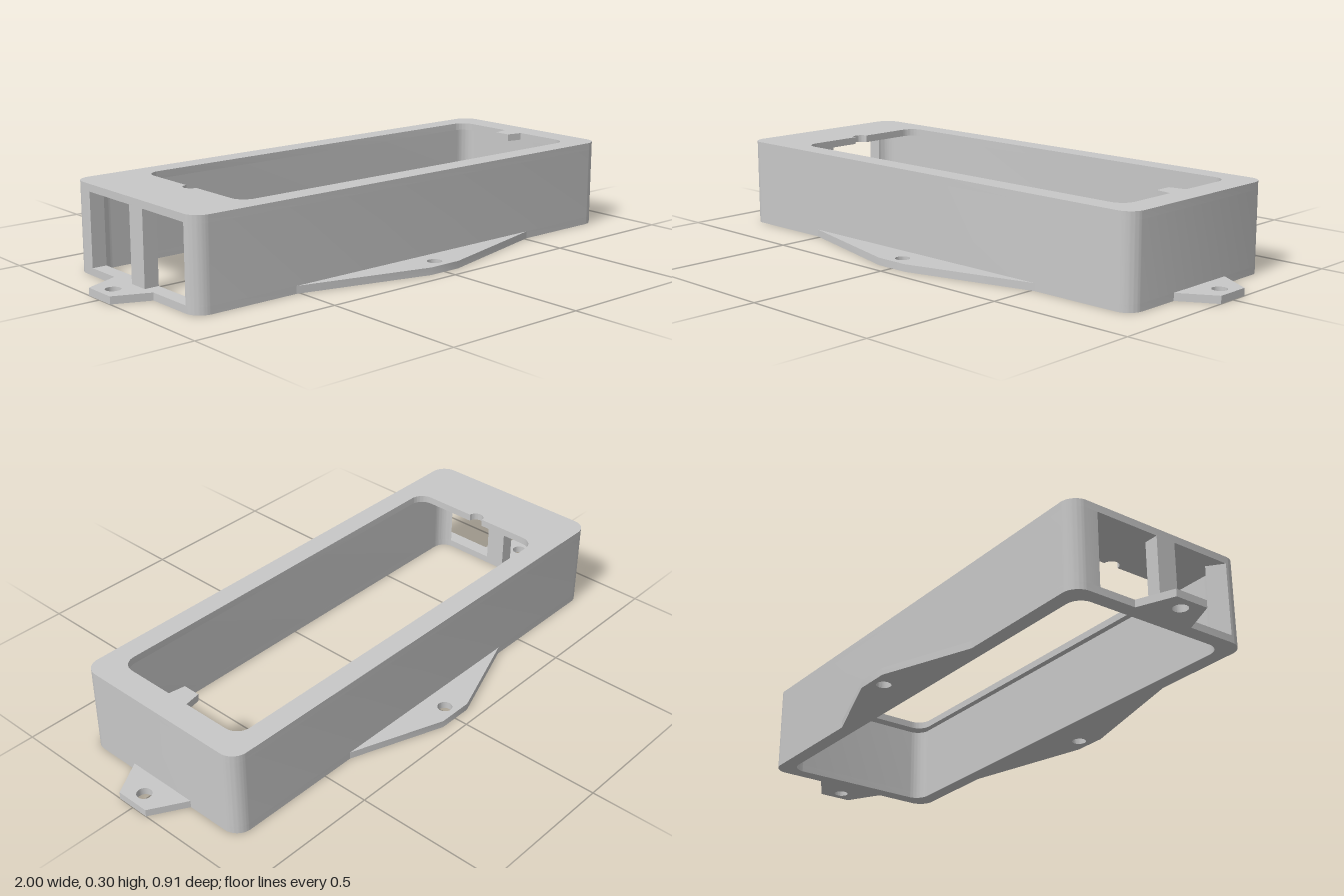
import * as THREE from 'three';
import { toCreasedNormals } from 'three/addons/utils/BufferGeometryUtils.js';

const PLATE = 0.025, HEIGHT = 0.299;
const OUT_X = 0.88, OUT_Z = 0.335, IN_X = 0.83, IN_Z = 0.283;
const OUT_R = 0.055, IN_R = 0.05;
const GAP = 0.24; // half width of the end opening

// Rounded rectangle outline on the ground plane
function roundedRect(path, x0, x1, z, r) {
  path.moveTo(x0 + r, -z);
  path.lineTo(x1 - r, -z);
  path.absarc(x1 - r, -z + r, r, -Math.PI / 2, 0, false);
  path.lineTo(x1, z - r);
  path.absarc(x1 - r, z - r, r, 0, Math.PI / 2, false);
  path.lineTo(x0 + r, z);
  path.absarc(x0 + r, z - r, r, Math.PI / 2, Math.PI, false);
  path.lineTo(x0, -z + r);
  path.absarc(x0 + r, -z + r, r, Math.PI, Math.PI * 1.5, false);
  return path;
}

function outline() {
  return roundedRect(new THREE.Shape(), -OUT_X, OUT_X, OUT_Z, OUT_R);
}

export function createModel() {
  const model = new THREE.Group();
  const grey = new THREE.MeshStandardMaterial({ color: 0xc8c8c8 });
  grey.name = 'lightGrey';

  // Extrude a plan shape upwards from y0 to y1
  function slab(name, shape, y0, y1) {
    const geo = new THREE.ExtrudeGeometry(shape, { depth: y1 - y0, bevelEnabled: false, curveSegments: 10 });
    geo.rotateX(-Math.PI / 2);
    geo.translate(0, y0, 0);
    const mesh = new THREE.Mesh(toCreasedNormals(geo, 0.5), grey);
    mesh.name = name;
    model.add(mesh);
  }

  // Bottom rim, a closed ring
  const rim = outline();
  rim.holes.push(roundedRect(new THREE.Path(), -IN_X, IN_X, IN_Z, IN_R));
  slab('bottomRim', rim, 0, PLATE);

  // Walls, open at the -x end
  const wall = new THREE.Shape();
  const ox = OUT_X - OUT_R, oz = OUT_Z - OUT_R, ix = IN_X - IN_R, iz = IN_Z - IN_R;
  const q = Math.PI / 2;
  const jamb = Math.acos((GAP - iz) / IN_R); // where the inner corner meets the opening
  wall.moveTo(-OUT_X, -GAP);
  wall.absarc(-ox, -oz, OUT_R, 2 * q, 3 * q, false);
  wall.absarc(ox, -oz, OUT_R, -q, 0, false);
  wall.absarc(ox, oz, OUT_R, 0, q, false);
  wall.absarc(-ox, oz, OUT_R, q, 2 * q, false);
  wall.lineTo(-OUT_X, GAP);
  wall.absarc(-ix, iz, IN_R, q + jamb, q, true);
  wall.absarc(ix, iz, IN_R, q, 0, true);
  wall.absarc(ix, -iz, IN_R, 0, -q, true);
  wall.absarc(-ix, -iz, IN_R, -q, -q - jamb, true);
  wall.closePath();
  slab('walls', wall, PLATE, HEIGHT - PLATE);

  // Top plate: window with a round notch at one end and a small key at the other
  const top = outline();
  const win = new THREE.Path();
  const x0 = -0.66, x1 = 0.79, z = 0.261, r = 0.05;
  win.moveTo(x0 + r, -z);
  win.absarc(x1 - r, -z + r, r, -q, 0, false);
  win.lineTo(x1, -0.04);
  win.lineTo(0.733, -0.03);
  win.lineTo(0.733, 0.03);
  win.lineTo(x1, 0.04);
  win.absarc(x1 - r, z - r, r, 0, q, false);
  win.absarc(x0 + r, z - r, r, q, 2 * q, false);
  win.absarc(x0, 0, 0.027, q, 3 * q, false);
  win.absarc(x0 + r, -z + r, r, 2 * q, 3 * q, false);
  top.holes.push(win);
  slab('topPlate', top, HEIGHT - PLATE, HEIGHT);

  // Post in the end opening, flush with the wall
  const post = new THREE.Mesh(new THREE.BoxGeometry(OUT_X - IN_X, HEIGHT - 2 * PLATE, 0.072), grey);
  post.name = 'endPost';
  post.position.set(-(OUT_X + IN_X) / 2, HEIGHT / 2, 0.027);
  model.add(post);

  // Mounting tabs: four corners (x, z) and a screw hole
  const tabs = [
    ['frontTab', [[-0.52, 0.333], [-0.06, 0.453], [0.06, 0.453], [0.52, 0.333]], [0, 0.405]],
    ['backTab', [[0.39, -0.333], [0.062, -0.453], [-0.062, -0.453], [-0.39, -0.333]], [0, -0.408]],
    ['leftTab', [[0.88, 0.13], [1, 0.06], [1, -0.06], [0.88, -0.13]], [0.952, 0]],
    ['rightTab', [[-0.88, -0.11], [-1, -0.06], [-1, 0.06], [-0.88, 0.11]], [-0.952, 0]],
  ];
  for (const [name, corners, hole] of tabs) {
    const shape = new THREE.Shape(corners.map(([x, cz]) => new THREE.Vector2(x, -cz)));
    const screw = new THREE.Path();
    screw.absarc(hole[0], -hole[1], 0.025, 0, Math.PI * 2, false);
    shape.holes.push(screw);
    slab(name, shape, 0, PLATE);
  }
  return model;
}
